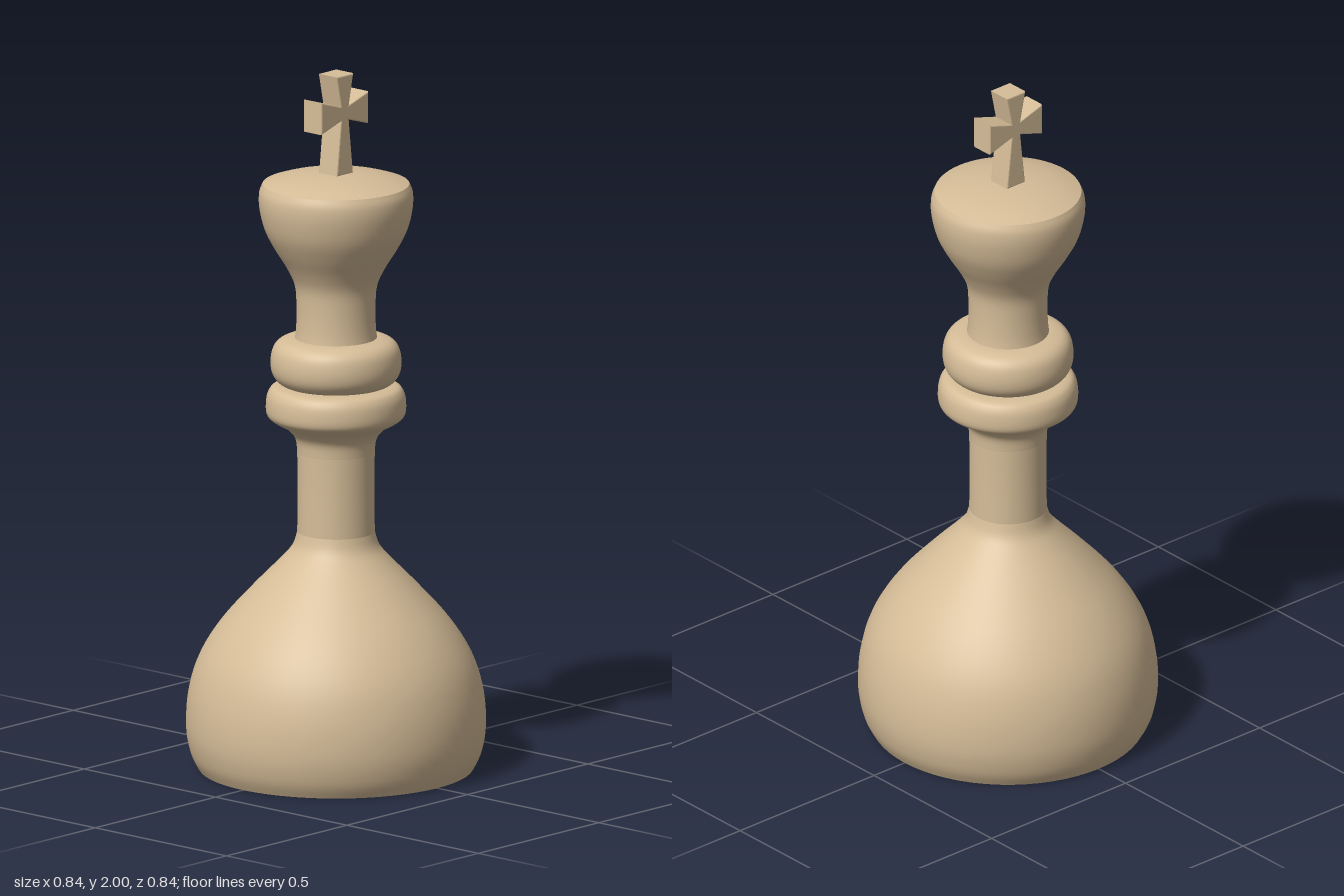
import * as THREE from 'three';

const material = new THREE.MeshStandardMaterial({ color: 0xd6bd98 });
const SIDES = 64;

// Turned part: a smooth curve through [radius, height] points, listed bottom to top
function turned(name, profile, divisions) {
  const curve = new THREE.SplineCurve(profile.map(([r, y]) => new THREE.Vector2(r, y)));
  const points = curve.getPoints(divisions).map((p) => new THREE.Vector2(Math.max(p.x, 0), p.y));
  const mesh = new THREE.Mesh(new THREE.LatheGeometry(points, SIDES), material);
  mesh.name = name;
  return mesh;
}

// Flared cross with a slight bevel on its edges
function makeCross() {
  const b = 0.004;
  const waist = 0.017, midY = 1.89;
  const topY = 2 - b, bottomY = 1.712 + b;
  const armX = 0.098 - b, armH = 0.046 - b;
  const right = [
    [0.03, bottomY], [waist - b, midY - waist], [armX, midY - armH],
    [armX, midY + armH], [waist - b, midY + waist], [0.035 - b, topY],
  ];
  const left = right.map(([x, y]) => [-x, y]).reverse();
  const shape = new THREE.Shape([...right, ...left].map(([x, y]) => new THREE.Vector2(x, y)));
  const depth = 0.07 - 2 * b;
  const geometry = new THREE.ExtrudeGeometry(shape, {
    depth, bevelEnabled: true, bevelThickness: b, bevelSize: b, bevelSegments: 2,
  });
  geometry.translate(0, 0, -depth / 2);
  const mesh = new THREE.Mesh(geometry, material);
  mesh.name = 'cross';
  return mesh;
}

export function createModel() {
  const group = new THREE.Group();
  group.name = 'chessKing';

  group.add(
    turned('underside', [[0, 0], [0.386, 0]], 1),

    // Bulbous foot
    turned('base', [
      [0.386, 0], [0.408, 0.045], [0.421, 0.12], [0.414, 0.22], [0.384, 0.32],
      [0.322, 0.42], [0.233, 0.52], [0.155, 0.6], [0.122, 0.64], [0.109, 0.68],
    ], 40),

    turned('stem', [[0.109, 0.68], [0.108, 0.8], [0.109, 0.91]], 4),

    // Lower collar flares out of the stem and closes over the top
    turned('lowerCollar', [
      [0.109, 0.91], [0.115, 0.95], [0.14, 0.98], [0.175, 1.0], [0.194, 1.018],
      [0.197, 1.05], [0.19, 1.082], [0.168, 1.1], [0.1, 1.104],
    ], 40),

    turned('upperCollar', [
      [0.1, 1.1], [0.15, 1.106], [0.176, 1.13], [0.184, 1.165], [0.178, 1.205],
      [0.16, 1.228], [0.13, 1.238], [0.1, 1.24],
    ], 36),

    // Neck swelling into the head
    turned('head', [
      [0.116, 1.232], [0.112, 1.27], [0.111, 1.33], [0.116, 1.39], [0.138, 1.44],
      [0.172, 1.495], [0.2, 1.55], [0.215, 1.61], [0.216, 1.655], [0.206, 1.682],
    ], 40),

    turned('headTop', [[0.206, 1.682], [0.15, 1.699], [0.075, 1.711], [0, 1.715]], 12),

    makeCross(),
  );
  return group;
}
